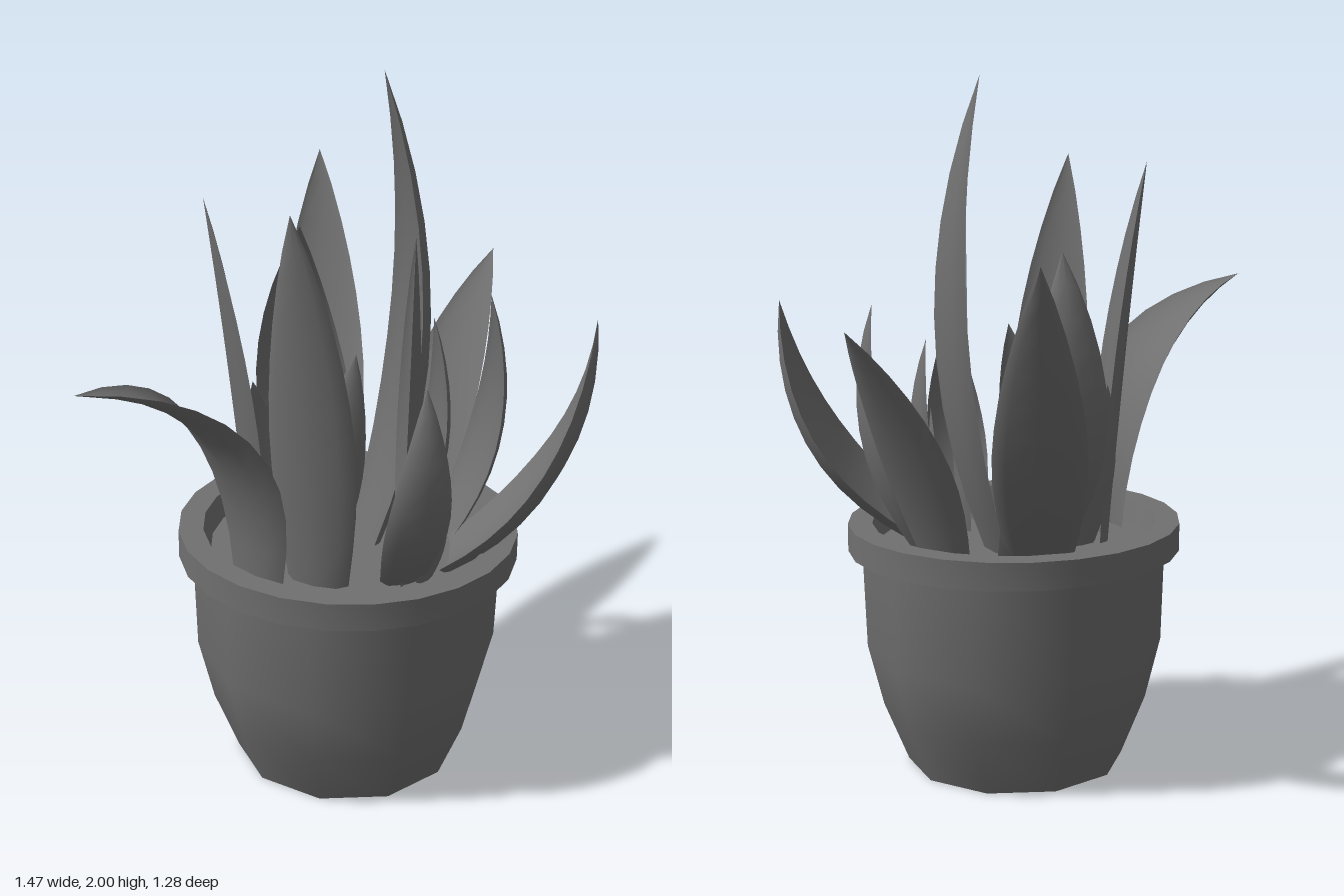
import * as THREE from 'three';
import { toCreasedNormals } from 'three/addons/utils/BufferGeometryUtils.js';

const material = new THREE.MeshStandardMaterial({ color: 0x707070, side: THREE.DoubleSide });
const SOIL = 0.66;

const v2 = (points) => points.map(([x, y]) => new THREE.Vector2(x, y));

// Tapering crescent blade from the soil to its tip. Angle is the way its back faces in the
// xz plane; bow bends its middle towards the back, sway bends it sideways.
function leafGeometry([bx, bz], tipPoint, angle, half, bow, sway = 0) {
  const base = new THREE.Vector3(bx, SOIL, bz), tip = new THREE.Vector3(...tipPoint);
  const a = THREE.MathUtils.degToRad(angle);
  const W = new THREE.Vector3(-Math.sin(a), 0, Math.cos(a));
  const back = tip.clone().sub(base).cross(W).normalize();
  const control = base.clone().lerp(tip, 0.5).addScaledVector(back, 2 * bow).addScaledVector(W, 2 * sway);
  const curve = new THREE.QuadraticBezierCurve3(base, control, tip);
  const steps = 10, across = 4, ring = 2 * (across + 1);
  const pos = [], index = [];
  for (let i = 0; i <= steps; i++) {
    const t = i / steps;
    const c = curve.getPoint(t);
    const N = curve.getTangent(t).cross(W).normalize();
    // widest a third of the way up, pointed at the tip
    const w = t < 0.35
      ? half * (0.72 + 0.28 * Math.sin((t / 0.35) * Math.PI / 2))
      : half * Math.pow(1 - Math.pow((t - 0.35) / 0.65, 1.8), 0.95);
    for (let side = 0; side < 2; side++) {
      for (let k = 0; k <= across; k++) {
        const th = (side + k / across) * Math.PI;
        const bulge = Math.abs(Math.sin(th)) * (side ? 0.22 : 0.4) - 0.2;
        const p = c.clone().addScaledVector(W, w * Math.cos(th)).addScaledVector(N, w * bulge);
        pos.push(p.x, p.y, p.z);
      }
    }
  }
  for (let i = 0; i < steps; i++) {
    for (let k = 0; k < ring - 1; k++) {
      if (k === across) continue; // sharp edge between back and inner face
      const p = i * ring + k, q = p + ring;
      index.push(p, p + 1, q + 1, p, q + 1, q);
    }
  }
  const g = new THREE.BufferGeometry();
  g.setAttribute('position', new THREE.Float32BufferAttribute(pos, 3));
  g.setIndex(index);
  g.computeVertexNormals();
  return g;
}

export function createModel() {
  const model = new THREE.Group();
  const addGroup = (name) => {
    const group = new THREE.Group();
    group.name = name;
    model.add(group);
    return group;
  };
  const add = (name, geometry, parent) => {
    const mesh = new THREE.Mesh(geometry, material);
    mesh.name = name;
    parent.add(mesh);
  };

  // Pot: ten-sided bowl, flat base, rounder rim with a sloping inner wall, recessed soil
  const pot = addGroup('pot');
  pot.position.set(0.125, 0, 0.16);
  add('potBody', new THREE.LatheGeometry(
    v2([[0.315, 0], [0.385, 0.17], [0.43, 0.35], [0.44, 0.645]]), 10), pot);
  add('potBase', new THREE.CircleGeometry(0.315, 10, Math.PI / 2).rotateX(Math.PI / 2), pot);
  add('potRim', toCreasedNormals(new THREE.LatheGeometry(
    v2([[0.385, 0.645], [0.48, 0.645], [0.48, 0.725], [0.41, 0.725], [0.385, 0.645]]), 24), 0.6), pot);
  add('soil', new THREE.CircleGeometry(0.39, 24).rotateX(-Math.PI / 2).translate(0, SOIL, 0), pot);

  // Leaves: base x z, tip, facing angle, half width, bow, sway
  const plant = addGroup('plant');
  const leaf = (name, ...shape) => add(name, leafGeometry(...shape), plant);

  // long outer leaves
  leaf('leftArchingLeaf', [-0.2, 0.26], [-0.73, 1.36, 0.43], 160, 0.14, -0.19);
  leaf('backLeaf', [0.14, -0.08], [0.36, 1.57, -0.64], -66, 0.13, 0.045);
  leaf('frontCurledLeaf', [0.35, 0.35], [0.73, 1.36, 0.44], 32, 0.15, 0.11);
  leaf('sideLeaf', [0.4, 0.01], [0.72, 1.36, -0.17], -35, 0.12, -0.03);

  // tall upright leaves
  leaf('tallestLeaf', [0.21, 0.12], [0.25, 2, 0.075], 5, 0.14, 0.115);
  leaf('frontTallLeaf', [-0.05, 0.35], [-0.15, 1.75, 0.41], 135, 0.125, -0.015);
  leaf('leftTallLeaf', [-0.13, 0.11], [-0.295, 1.74, 0.17], 195, 0.13, -0.02);
  leaf('frontUprightLeaf', [0.2, 0.38], [0.095, 1.73, 0.63], 18, 0.12, 0.02, -0.11);
  leaf('backUprightLeaf', [0.14, -0.04], [0.08, 1.53, -0.1], -90, 0.145, 0.13);

  // short leaves
  leaf('frontShortLeaf', [0.18, 0.43], [0.19, 1.27, 0.52], 90, 0.095, 0.1, 0.02);
  leaf('sideShortLeaf', [0.41, 0.2], [0.53, 1.37, 0.2], 0, 0.09, 0.08);
  leaf('innerSideLeaf', [0.36, 0.11], [0.41, 1.28, 0.09], 0, 0.08, 0.05);
  leaf('innerFrontLeaf', [0.01, 0.21], [0.1, 1.28, 0.26], 110, 0.085, 0.02);
  leaf('innerLeftLeaf', [-0.03, 0.04], [-0.1, 1.13, 0], -100, 0.085, 0.01);
  leaf('innerCentreLeaf', [0.04, 0.12], [0.03, 0.98, 0.1], -30, 0.07, 0.03);
  leaf('smallSideLeaf', [0.27, 0.34], [0.31, 1.03, 0.35], 10, 0.055, 0.015);
  leaf('smallFrontLeaf', [0.24, 0.44], [0.28, 0.92, 0.43], 60, 0.05, 0.02);

  return model;
}
